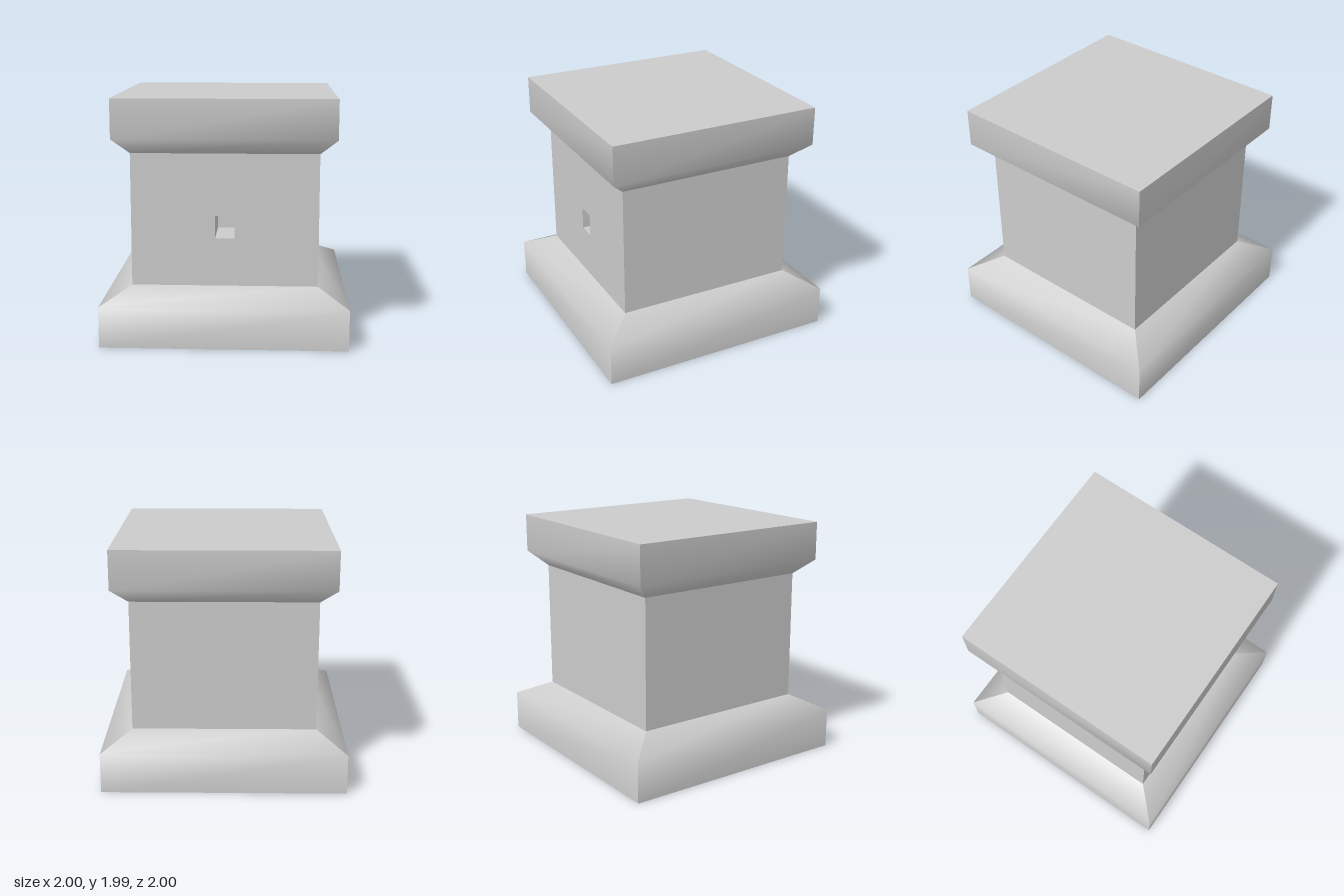
import * as THREE from 'three';
import { mergeGeometries } from 'three/addons/utils/BufferGeometryUtils.js';

const BODY = 0.757, BASE_TOP = 0.46, CAP_BOTTOM = 1.545, TOP = 1.99;
const HOLE = { w: 0.155, y0: 0.855, y1: 1.04, depth: 0.4 };

// Four mitred sides following a [half width, height] profile, listed bottom to top.
// Each side is smooth along its profile and sharp at the mitres.
function squareMoulding(profile) {
  const positions = [], index = [];
  profile.forEach(([w, y], i) => {
    positions.push(-w, y, w, w, y, w);
    if (i > 0) {
      const a = 2 * (i - 1);
      index.push(a, a + 1, a + 3, a, a + 3, a + 2);
    }
  });
  const side = new THREE.BufferGeometry();
  side.setAttribute('position', new THREE.Float32BufferAttribute(positions, 3));
  side.setIndex(index);
  side.computeVertexNormals();
  return mergeGeometries([0, 1, 2, 3].map(k => side.clone().rotateY(k * Math.PI / 2)));
}

// Horizontal square facing up (dir 1) or down (dir -1)
function squareFace(halfWidth, y, dir) {
  return new THREE.PlaneGeometry(2 * halfWidth, 2 * halfWidth)
    .rotateX(-dir * Math.PI / 2).translate(0, y, 0);
}

export function createModel() {
  const group = new THREE.Group();
  const grey = new THREE.MeshStandardMaterial({ color: 0xcccccc });
  const add = (name, geometry, material = grey) => {
    const mesh = new THREE.Mesh(geometry, material);
    mesh.name = name;
    group.add(mesh);
  };

  // Plinth and cap
  add('base', squareMoulding([[1, 0], [1, 0.335], [BODY, BASE_TOP]]));
  add('baseUnderside', squareFace(1, 0, -1));
  add('cap', squareMoulding([[BODY, CAP_BOTTOM], [0.89, 1.67], [0.89, TOP]]));
  add('capTop', squareFace(0.89, TOP, 1));

  // Three plain walls of the shaft: left, back and right
  const height = CAP_BOTTOM - BASE_TOP;
  const walls = [1, 2, 3].map(k => new THREE.PlaneGeometry(2 * BODY, height)
    .translate(0, BASE_TOP + height / 2, BODY).rotateY(k * Math.PI / 2));
  add('shaftWalls', mergeGeometries(walls));

  // Front wall with a rectangular opening
  const rect = (Type, w, y0, y1) => new Type([[-w, y0], [w, y0], [w, y1], [-w, y1]]
    .map(([x, y]) => new THREE.Vector2(x, y)));
  const front = rect(THREE.Shape, BODY, BASE_TOP, CAP_BOTTOM);
  front.holes.push(rect(THREE.Path, HOLE.w / 2, HOLE.y0, HOLE.y1));
  add('shaftFront', new THREE.ShapeGeometry(front).translate(0, 0, BODY));

  // Socket behind the opening: a box seen from inside, without its front face
  const socket = new THREE.BoxGeometry(HOLE.w, HOLE.y1 - HOLE.y0, HOLE.depth)
    .translate(0, (HOLE.y0 + HOLE.y1) / 2, BODY - HOLE.depth / 2);
  const faces = Array.from(socket.index.array);
  faces.splice(24, 6);
  socket.setIndex(faces);
  socket.clearGroups();
  add('socket', socket, new THREE.MeshStandardMaterial({ color: 0xcccccc, side: THREE.BackSide }));

  return group;
}
